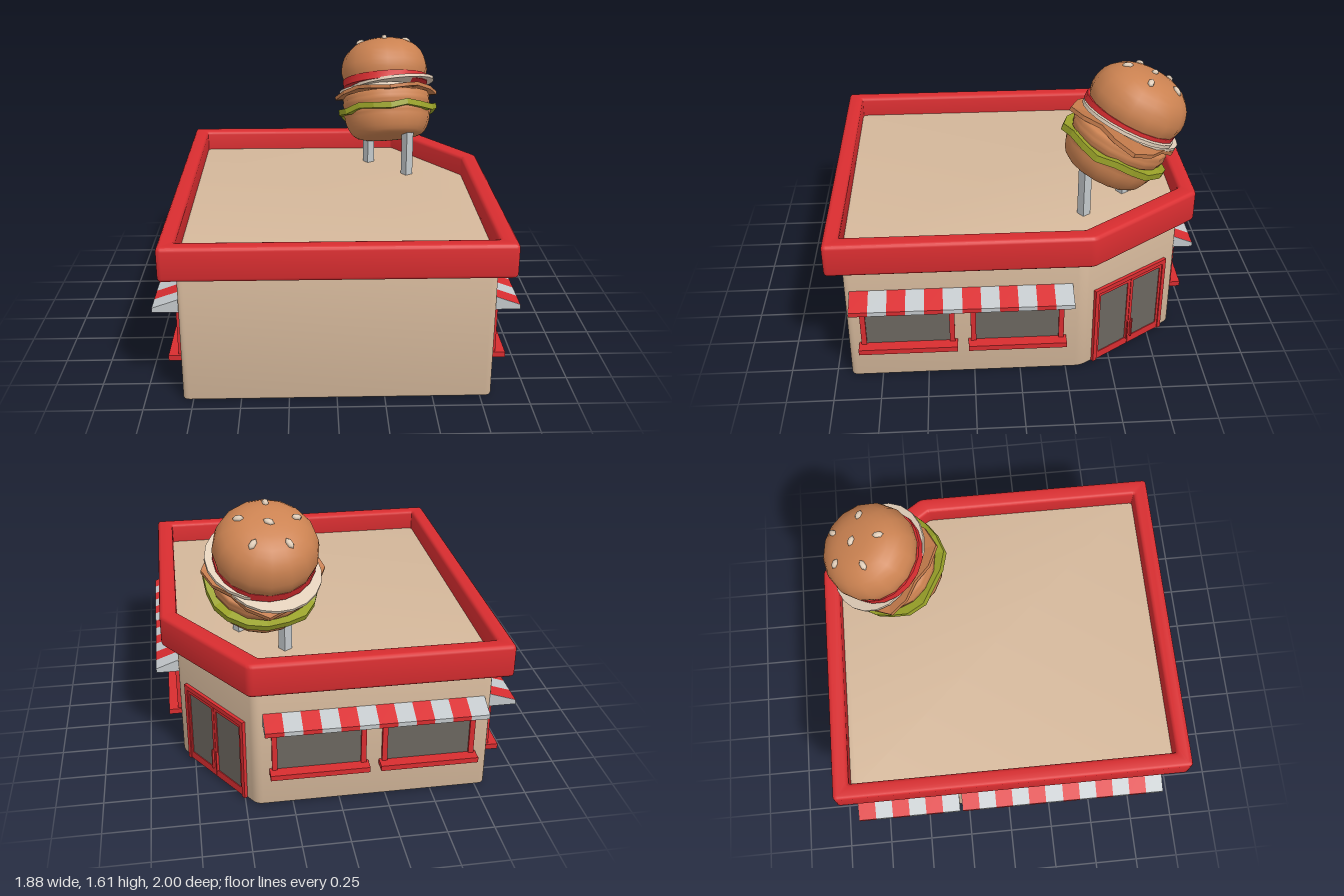
import * as THREE from 'three';
import { toCreasedNormals } from 'three/addons/utils/BufferGeometryUtils.js';

const mat = (name, color) => {
  const m = new THREE.MeshStandardMaterial({ color });
  m.name = name;
  return m;
};
const shapeOf = pts => new THREE.Shape(pts.map(p => new THREE.Vector2(...p)));

export function createModel() {
  const red = mat('red', 0xd92d30), tan = mat('tan', 0xd5b89b), grey = mat('light grey', 0xc3c8cb);
  const glass = mat('dark glass', 0x6b665f), green = mat('floor green', 0x248a74);
  const bun = mat('bun', 0xcb8251), cheese = mat('cheese', 0xc27a4b), lettuce = mat('lettuce', 0x98a028);
  const onion = mat('onion', 0xe0cdb8);

  const root = new THREE.Group();
  const add = (parent, name, geo, material, x = 0, y = 0, z = 0) => {
    const m = new THREE.Mesh(geo, material);
    m.name = name;
    m.position.set(x, y, z);
    parent.add(m);
    return m;
  };
  const box = (parent, name, material, w, h, d, x, y, z) =>
    add(parent, name, new THREE.BoxGeometry(w, h, d), material, x, y, z);

  // Floor plans as (x, z) corners, with the back corner cut off
  const wallPlan = [[-0.805, -0.89], [0.445, -0.89], [0.81, -0.335], [0.81, 0.92], [-0.805, 0.92]];
  const rimPlan = [[-0.885, -0.974], [0.475, -0.974], [0.892, -0.375], [0.892, 1], [-0.885, 1]];
  const innerPlan = [[-0.8, -0.885], [0.412, -0.885], [0.8, -0.33], [0.8, 0.915], [-0.8, 0.915]];

  // Closed outline with rounded corners
  const rounded = (pts, r, Type = THREE.Shape) => {
    const s = new Type();
    const v = pts.map(p => new THREE.Vector2(...p));
    v.forEach((p, i) => {
      const toward = q => q.clone().sub(p).setLength(r).add(p);
      const a = toward(v[(i + v.length - 1) % v.length]);
      const b = toward(v[(i + 1) % v.length]);
      if (i) s.lineTo(a.x, a.y); else s.moveTo(a.x, a.y);
      s.quadraticCurveTo(p.x, p.y, b.x, b.y);
    });
    s.closePath();
    return s;
  };
  // Slab between two heights with softened edges
  const slab = (shape, y0, y1, b) => {
    const g = new THREE.ExtrudeGeometry(shape, {
      depth: y1 - y0 - 2 * b, bevelThickness: b, bevelSize: b, bevelOffset: -b, bevelSegments: 3, curveSegments: 4,
    });
    g.rotateX(Math.PI / 2).translate(0, y1 - b, 0);
    return toCreasedNormals(g, 0.6);
  };

  // Building shell
  const roofY = 0.785;
  add(root, 'walls', slab(rounded(wallPlan, 0.035), 0.002, roofY, 0.012), tan);
  const rim = rounded(rimPlan, 0.025);
  rim.holes.push(rounded(innerPlan, 0.01, THREE.Path));
  add(root, 'roofRim', slab(rim, 0.72, 0.902, 0.02), red);

  // Two-coloured underside
  const under = (name, pts, material) =>
    add(root, name, new THREE.ShapeGeometry(shapeOf(pts)).rotateX(Math.PI / 2), material);
  under('floorBack', [[-0.79, -0.875], [0.435, -0.875], [0.795, -0.33], [0.795, 0.015], [-0.79, 0.015]], red);
  under('floorFront', [[-0.79, 0.015], [0.795, 0.015], [0.795, 0.905], [-0.79, 0.905]], green);

  // Awning sections as (outward, up), extruded along the window
  const along = (pts, w) => new THREE.ExtrudeGeometry(shapeOf(pts), { depth: w, bevelEnabled: false })
    .rotateY(-Math.PI / 2).translate(w / 2, 0, 0);
  const stripeW = 0.0965;
  const stripeGeo = along([[-0.01, 0.572], [0.13, 0.522], [0.13, 0.497], [0.118, 0.497], [0.118, 0.514], [-0.01, 0.56]], stripeW);
  const endGeo = along([[-0.01, 0.572], [0.13, 0.522], [0.13, 0.497], [-0.01, 0.497]], 0.002);

  // Window with sill and striped awning, facing local +z
  const addWindow = (x, z, turn, reach) => {
    const w = new THREE.Group();
    w.name = 'window';
    w.position.set(x, 0, z);
    w.rotation.y = turn;
    box(w, 'glass', glass, 0.46, 0.3, 0.008, 0, 0.375, 0.003);
    for (const s of [-1, 1]) box(w, 'frameSide', red, 0.028, 0.315, 0.03, s * 0.235, 0.3775, 0.005);
    box(w, 'frameTop', red, 0.498, 0.028, 0.03, 0, 0.525, 0.005);
    box(w, 'sill', red, 0.525, 0.03, 0.08, 0, 0.215, 0.03);
    for (let i = 0; i < 6; i++) {
      add(w, 'awningStripe', stripeGeo, i % 2 ? grey : red, (i - 2.5) * stripeW).scale.z = reach;
    }
    for (const s of [-1, 1]) add(w, 'awningEnd', endGeo, grey, s * 0.2905).scale.z = reach;
    root.add(w);
  };
  for (const z of [0.6, 0.017]) addWindow(0.81, z, Math.PI / 2, 0.96);
  for (const z of [0.59, 0.007, -0.59]) addWindow(-0.805, z, -Math.PI / 2, 1.04);
  for (const x of [-0.472, 0.111]) addWindow(x, -0.89, Math.PI, 0.85);

  // Double door on the cut corner
  const door = new THREE.Group();
  door.name = 'door';
  door.position.set(0.629, 0, -0.61);
  door.rotation.y = Math.atan2(0.555, -0.365);
  for (const s of [-1, 1]) {
    box(door, 'doorPost', red, 0.024, 0.475, 0.03, s * 0.245, 0.2475, 0.004);
    box(door, 'glass', glass, 0.22, 0.42, 0.008, s * 0.118, 0.26, 0.004);
    for (const e of [0.011, 0.227]) box(door, 'leafSide', red, 0.019, 0.43, 0.02, s * e, 0.24, 0.003);
    box(door, 'leafTop', red, 0.23, 0.018, 0.02, s * 0.118, 0.45, 0.003);
    box(door, 'leafBottom', red, 0.23, 0.045, 0.02, s * 0.118, 0.035, 0.003);
    box(door, 'handle', red, 0.008, 0.12, 0.014, s * 0.018, 0.12, 0.018);
  }
  box(door, 'doorLintel', red, 0.514, 0.026, 0.03, 0, 0.475, 0.004);
  root.add(door);

  // Sign posts
  for (const [x, z, top] of [[0.468, -0.365, 1.1], [0.247, -0.61, 1.02]]) {
    box(root, 'signPost', grey, 0.05, top - roofY + 0.01, 0.05, x, (top + roofY - 0.01) / 2, z).rotation.y = 0.6;
  }

  // Tilted burger sign
  const burger = new THREE.Group();
  burger.name = 'burgerSign';
  burger.position.set(0.354, 1.134, -0.53);
  burger.rotation.set(-0.445, 0, 0.05);
  root.add(burger);
  const lathe = (name, pts, material) => {
    const curve = new THREE.SplineCurve(pts.map(p => new THREE.Vector2(...p)));
    add(burger, name, new THREE.LatheGeometry(curve.getPoints(16), 16), material);
  };
  lathe('bottomBun', [[0, -0.16], [0.14, -0.16], [0.21, -0.147], [0.25, -0.09], [0.264, -0.03], [0.25, 0.005], [0, 0.01]], bun);
  lathe('patty', [[0, 0.01], [0.23, 0.01], [0.265, 0.035], [0.268, 0.07], [0.24, 0.11], [0, 0.115]], bun);
  lathe('topBun', [[0, 0.2], [0.23, 0.2], [0.26, 0.225], [0.267, 0.28], [0.242, 0.36], [0.18, 0.42], [0.1, 0.45], [0, 0.458]], bun);

  // Thin faceted layers whose rim follows a rule of the angle
  const layer = (name, r, h, sides, material, y, rule) => {
    const g = new THREE.CylinderGeometry(r, r, h, sides);
    const p = g.attributes.position;
    for (let i = 0; i < p.count; i++) {
      if (Math.hypot(p.getX(i), p.getZ(i)) < 0.01) continue;
      const [k, dy] = rule(Math.atan2(p.getZ(i), p.getX(i)));
      p.setXYZ(i, p.getX(i) * k, p.getY(i) + dy, p.getZ(i) * k);
    }
    const flat = g.toNonIndexed();
    flat.computeVertexNormals();
    add(burger, name, flat, material, 0, y, 0);
  };
  layer('lettuce', 0.3, 0.035, 18, lettuce, 0.003, a => [1 + 0.03 * Math.sin(a * 5), 0.012 * Math.sin(a * 6 + 1)]);
  layer('cheese', 0.288, 0.022, 16, cheese, 0.126, a => {
    const c = Math.cos(4 * a);
    return [1 + 0.1 * c, -0.008 - 0.016 * c];
  });
  const slice = (name, r, h, material, x, y, z, lean) =>
    add(burger, name, toCreasedNormals(new THREE.CylinderGeometry(r, r, h, 20), 0.6), material, x, y, z).rotation.z = lean;
  slice('onionLower', 0.25, 0.016, onion, -0.035, 0.146, -0.06, 0);
  slice('onionUpper', 0.262, 0.018, onion, 0.04, 0.168, 0.015, 0.06);
  slice('tomato', 0.262, 0.045, red, 0, 0.188, 0.005, 0);

  // Seeds: one in the middle and five around it
  const seedGeo = new THREE.SphereGeometry(1, 6, 4).scale(0.03, 0.015, 0.018);
  add(burger, 'seed', seedGeo, onion, 0, 0.46, 0).rotation.y = -0.5;
  for (let i = 0; i < 5; i++) {
    const a = Math.PI / 2 + i * Math.PI * 2 / 5;
    const seed = add(burger, 'seed', seedGeo, onion, Math.cos(a) * 0.15, 0.437, Math.sin(a) * 0.15);
    seed.rotation.set(0, -a, -0.42);
  }
  return root;
}
